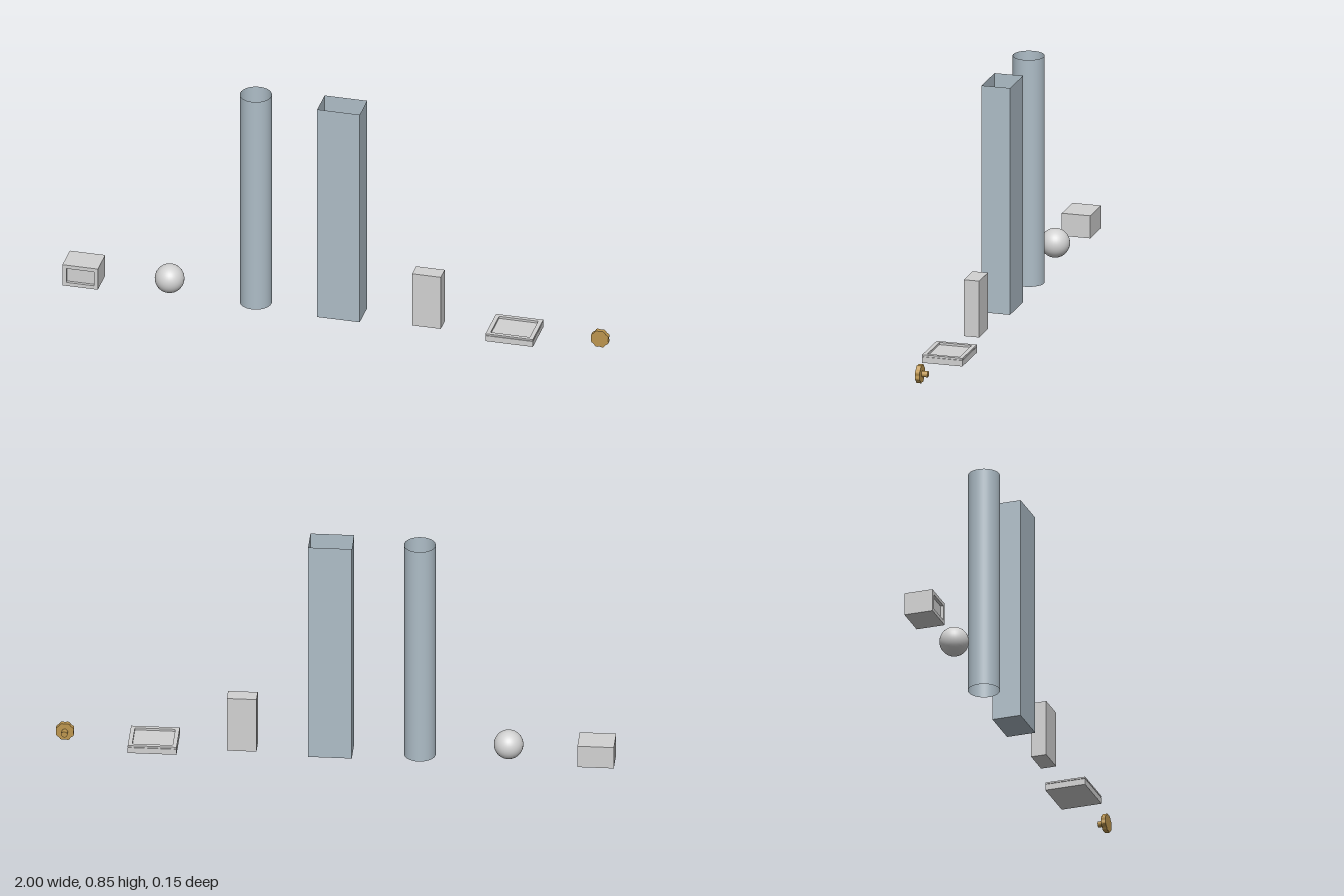
import * as THREE from 'three';

export function createModel() {
  const model = new THREE.Group();
  const mat = (name, color, side = THREE.FrontSide) => {
    const m = new THREE.MeshStandardMaterial({ color, side });
    m.name = name;
    return m;
  };
  const grey = mat('light grey', 0xd2d2d2);
  const glass = mat('pale blue glass', 0xaebdc7, THREE.DoubleSide);
  const brass = mat('brass', 0xbd964f);

  const add = (name, geometry, material, x, y, z, parent = model) => {
    const mesh = new THREE.Mesh(geometry, material);
    mesh.name = name;
    mesh.position.set(x, y, z);
    parent.add(mesh);
    return mesh;
  };
  const group = (name, x, y, z) => {
    const g = new THREE.Group();
    g.name = name;
    g.position.set(x, y, z);
    model.add(g);
    return g;
  };

  // Rectangular rim, facing +z, starting at z = 0
  const rim = (w, h, border, depth) => {
    const rect = (p, a, b) => p.moveTo(-a, -b).lineTo(a, -b).lineTo(a, b).lineTo(-a, b).closePath();
    const shape = rect(new THREE.Shape(), w / 2, h / 2);
    shape.holes.push(rect(new THREE.Path(), w / 2 - border, h / 2 - border));
    return new THREE.ExtrudeGeometry(shape, { depth, bevelEnabled: false });
  };

  // Small box with a recessed front panel
  const cabinet = group('cabinet', -0.935, 0.042, 0);
  add('cabinetBody', new THREE.BoxGeometry(0.13, 0.084, 0.095), grey, 0, 0, -0.0055, cabinet);
  add('cabinetFrontRim', rim(0.13, 0.084, 0.014, 0.011), grey, 0, 0, 0.042, cabinet);

  // Ball
  add('ball', new THREE.SphereGeometry(0.053, 32, 20), grey, -0.62, 0.053, 0);

  // Round tube, open at both ends
  add('roundTube', new THREE.CylinderGeometry(0.057, 0.057, 0.845, 40, 1, true), glass, -0.303, 0.4225, 0);

  // Square column: a thin box without its top face
  const column = new THREE.BoxGeometry(0.156, 0.845, 0.106);
  const index = Array.from(column.index.array);
  index.splice(12, 6);
  column.setIndex(index);
  column.clearGroups();
  add('squareColumn', column, glass, 0.014, 0.4225, 0);

  // Upright block
  add('block', new THREE.BoxGeometry(0.106, 0.21, 0.057), grey, 0.331, 0.105, 0);

  // Shallow tray: base, narrow groove and raised rim
  const tray = group('tray', 0.647, 0, 0);
  add('trayBase', new THREE.BoxGeometry(0.174, 0.022, 0.15), grey, 0, 0.011, 0, tray);
  add('trayGroove', rim(0.168, 0.144, 0.012, 0.003), grey, 0, 0.022, 0, tray).rotation.x = -Math.PI / 2;
  add('trayRim', rim(0.174, 0.15, 0.015, 0.006), grey, 0, 0.024, 0, tray).rotation.x = -Math.PI / 2;

  // Scalloped knob with a stem behind it
  const knob = group('knob', 0.965, 0.034, 0);
  const outline = new THREE.Shape();
  for (let i = 0; i < 48; i++) {
    const a = (i / 48) * Math.PI * 2;
    const r = 0.0325 + 0.0018 * Math.cos(8 * (a - Math.PI / 8));
    outline[i ? 'lineTo' : 'moveTo'](r * Math.cos(a), r * Math.sin(a));
  }
  outline.closePath();
  add('knobHead', new THREE.ExtrudeGeometry(outline, { depth: 0.017, bevelEnabled: false }), brass, 0, 0, 0.003, knob);
  add('knobStem', new THREE.CylinderGeometry(0.011, 0.011, 0.022, 16), brass, 0, 0, -0.008, knob).rotation.x = Math.PI / 2;

  return model;
}
